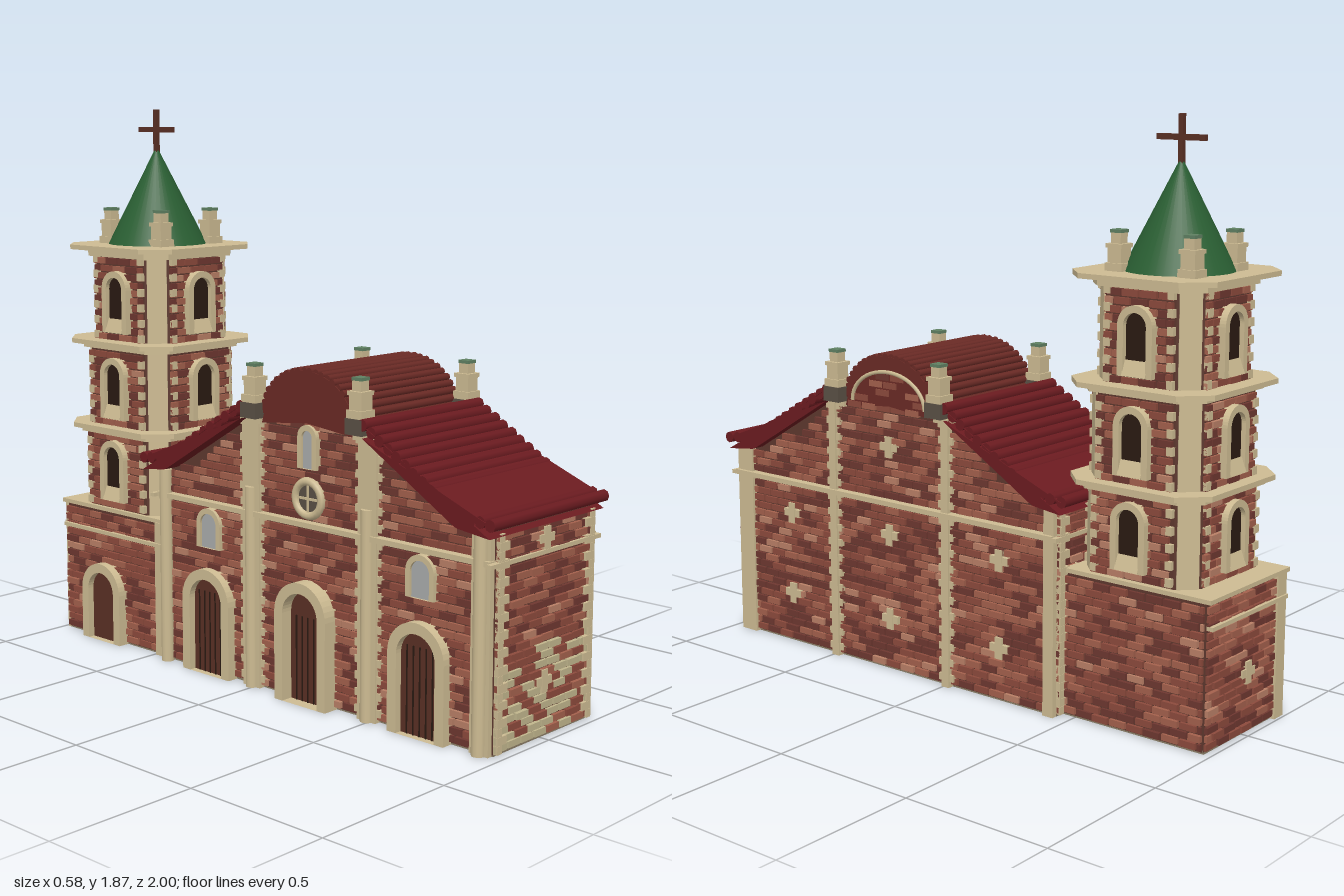
import * as THREE from 'three';
import { mergeGeometries } from 'three/addons/utils/BufferGeometryUtils.js';

const mat = (color, o = {}) => new THREE.MeshStandardMaterial({ color, ...o });
const TAN = mat(0xcdbb92), MORTAR = mat(0x5d382e), ROOF = mat(0x6b1b20), BARREL = mat(0x6a2a25);
const GREEN = mat(0x2a5f33), DARK = mat(0x2a1a12), WOOD = mat(0x5a3024), STONE = mat(0x5a5045);
const GLASS = mat(0xa9abab), FLOOR = mat(0x8a7d66), CAP = mat(0x5f8062);
const BRICKS = [mat(0x8c4a3c), mat(0xa3604c), mat(0x6e3730), mat(0xb97f66)];
const PALE = mat(0xc0b58c);

let seed = 7;
const rand = () => (seed = (seed * 16807) % 2147483647) / 2147483647;

function add(parent, name, geo, m, x = 0, y = 0, z = 0) {
  const mesh = new THREE.Mesh(geo, m);
  mesh.name = name;
  mesh.position.set(x, y, z);
  parent.add(mesh);
  return mesh;
}
// Box given by its lower and upper bounds
const block = (p, name, m, x0, x1, y0, y1, z0, z1) =>
  add(p, name, new THREE.BoxGeometry(x1 - x0, y1 - y0, z1 - z0), m, (x0 + x1) / 2, (y0 + y1) / 2, (z0 + z1) / 2);

// Group whose local +z points out of a wall
function face(parent, name, angle, x, y, z) {
  const g = new THREE.Group();
  g.name = name;
  g.rotation.y = angle;
  g.position.set(x, y, z);
  parent.add(g);
  return g;
}

// Running-bond bricks laid on a face
function brickwork(f, u0, u1, v0, v1, inside = () => true, paleBelow = -1) {
  const H = 0.0265, L = 0.064, sets = [[], [], [], [], []];
  for (let r = 0, v = v0; v + H <= v1 + 0.005; r++, v += H) {
    for (let u = u0 - (r % 2) * L / 2; u < u1; u += L) {
      const a = Math.max(u, u0), b = Math.min(u + L, u1) - 0.007;
      if (b - a < 0.01 || !inside(a, v + H) || !inside(b, v + H)) continue;
      const k = rand();
      const i = v < paleBelow && k > 0.5 ? 4 : k < 0.4 ? 0 : k < 0.65 ? 1 : k < 0.92 ? 2 : 3;
      const d = 0.008 + 0.006 * rand();
      sets[i].push(new THREE.BoxGeometry(b - a, H - 0.006, d).translate((a + b) / 2, v + H / 2, d / 2));
    }
  }
  sets.forEach((s, i) => s.length && add(f, 'bricks', mergeGeometries(s), i === 4 ? PALE : BRICKS[i]));
}

// Round-headed outline standing on y = 0
function arch(w, h, C = THREE.Shape) {
  const s = new C(), r = w / 2;
  s.moveTo(-r, 0);
  s.lineTo(r, 0);
  s.lineTo(r, h - r);
  s.absarc(0, h - r, r, 0, Math.PI, false);
  s.lineTo(-r, 0);
  return s;
}
const extrude = (s, depth) => new THREE.ExtrudeGeometry(s, { depth, bevelEnabled: false, curveSegments: 10 });

function archedOpening(f, name, u, v, w, h, t, depth, panel) {
  const g = new THREE.Group();
  g.name = name;
  g.position.set(u, v, 0);
  f.add(g);
  const s = arch(w, h);
  s.holes.push(arch(w - 2 * t, h - t, THREE.Path));
  add(g, 'archFrame', extrude(s, depth), TAN);
  add(g, 'archPanel', extrude(arch(w - 2 * t, h - t), 0.016), panel);
  return g;
}

function crossOrnament(f, u, v) {
  block(f, 'crossOrnament', TAN, u - 0.036, u + 0.036, v - 0.013, v + 0.013, 0, 0.016);
  block(f, 'crossOrnament', TAN, u - 0.014, u + 0.014, v - 0.036, v + 0.036, 0, 0.017);
}

function pinnacle(p, x, y, z) {
  const g = new THREE.Group();
  g.name = 'pinnacle';
  g.position.set(x, y, z);
  p.add(g);
  for (const [w, y0, y1] of [[0.062, 0, 0.03], [0.05, 0.03, 0.075], [0.058, 0.075, 0.088], [0.036, 0.088, 0.12]])
    block(g, 'pinnacleStone', TAN, -w / 2, w / 2, y0, y1, -w / 2, w / 2);
  block(g, 'pinnacleCap', CAP, -0.02, 0.02, 0.12, 0.13, -0.02, 0.02);
}

// Square with cut corners, extruded upward
function cutSquare(h, c, height) {
  const pts = [[h, c - h], [h, h - c], [h - c, h], [c - h, h], [-h, h - c], [-h, c - h], [c - h, -h], [h - c, -h]];
  return extrude(new THREE.Shape(pts.map(p => new THREE.Vector2(...p))), height).rotateX(-Math.PI / 2);
}

const MID = 0.24;
// Height of the roof line along the building
function roofY(z) {
  const d = Math.abs(z - MID);
  if (d < 0.195) return 0.91 + 0.16 * Math.sqrt(1 - (d / 0.195) ** 2);
  if (d < 0.26) return 0.92;
  if (d < 0.62) return 0.935 - (d - 0.26) * 0.6;
  return 0.719 - (d - 0.62) * 0.12;
}
// Profile in (z, y) extruded across the building
const across = (pts, x0, x1) =>
  extrude(new THREE.Shape(pts.map(p => new THREE.Vector2(...p))), x1 - x0).rotateY(-Math.PI / 2).translate(x1, 0, 0);

function roofStrip(p, name, m, z0, z1, x0, x1, step) {
  const top = [], low = [], tiles = [], n = Math.round((z1 - z0) / 0.013);
  for (let i = 0; i <= n; i++) {
    const z = z0 + (z1 - z0) * i / n;
    top.push([z, roofY(z)]);
    low.unshift([z, roofY(z) - 0.04]);
  }
  add(p, name, across([...low, ...top.reverse()], x0, x1), m);
  const curve = new THREE.CurvePath();
  for (let i = 1; i < top.length; i++)
    curve.add(new THREE.LineCurve(new THREE.Vector2(...top[i - 1]), new THREE.Vector2(...top[i])));
  const count = Math.round(curve.getLength() / step);
  for (let i = 0; i <= count; i++) {
    const q = curve.getPointAt(i / count), e = (i % 2) * 0.006;
    tiles.push(new THREE.CylinderGeometry(step * 0.48, step * 0.48, x1 - x0 - e, 8).rotateZ(Math.PI / 2)
      .translate((x0 + x1) / 2, q.y, q.x));
  }
  add(p, name + 'Tiles', mergeGeometries(tiles), m);
}

function nave(root) {
  const g = new THREE.Group();
  g.name = 'nave';
  root.add(g);
  const X0 = -0.23, X1 = 0.245, Z0 = -0.45, Z1 = 0.965;
  const prof = [[Z0, 0.005], [Z1, 0.005]];
  for (let i = 0; i <= 90; i++) {
    const z = Z1 + (Z0 - Z1) * i / 90;
    prof.push([z, roofY(z) - 0.03]);
  }
  add(g, 'naveWalls', across(prof, X0, X1), MORTAR);
  block(g, 'floor', FLOOR, X0, X1, 0, 0.012, Z0, Z1);
  roofStrip(g, 'frontRoof', ROOF, MID + 0.26, 0.985, -0.288, 0.282, 0.04);
  roofStrip(g, 'rearRoof', ROOF, -0.49, MID - 0.26, -0.288, 0.282, 0.04);
  roofStrip(g, 'barrelRoof', BARREL, MID - 0.194, MID + 0.194, -0.255, 0.255, 0.025);

  for (const s of [1, -1]) {
    const f = face(g, s > 0 ? 'plainSide' : 'doorSide', s * Math.PI / 2, s > 0 ? X1 : X0, 0, 0);
    const U = z => -s * z, a = Math.min(U(Z0), U(Z1)), b = Math.max(U(Z0), U(Z1));
    brickwork(f, a, b, 0.008, 1.04, (u, v) => v < roofY(U(u)) - 0.035);
    const strip = (name, z, w, y0, y1, d) => block(f, name, TAN, U(z) - w / 2, U(z) + w / 2, y0, y1, 0, d);
    block(f, 'cornice', TAN, a, b, 0.573, 0.59, 0, 0.03);
    const w = s > 0 ? 0.03 : 0.075;
    for (const z of [-0.01, 0.49]) {
      strip('pilaster', z, w, 0, 0.9, 0.022);
      for (let y = 0.02; y < 0.88; y += 0.053) strip('quoin', z, w + 0.03, y, y + 0.024, 0.017);
    }
    strip('cornerPilaster', 0.925, 0.07, 0, 0.68, 0.018);
    strip('cornerPilaster', -0.43, 0.04, 0, 0.68, 0.018);
    if (s < 0) for (const z of [-0.01, 0.49, 0.925, -0.42])
      add(f, 'halfColumn', new THREE.CylinderGeometry(0.022, 0.022, 0.67, 12), TAN, U(z), 0.335, 0.018);
    // Moulding below the barrel roof
    const arc = new THREE.EllipseCurve(U(MID), 0.91, 0.16, 0.11, 0, Math.PI).getPoints(16)
      .map(q => new THREE.Vector3(q.x, q.y, 0.012));
    add(f, 'gableMoulding', new THREE.TubeGeometry(new THREE.CatmullRomCurve3(arc), 24, 0.007, 6), TAN);
    if (s > 0) {
      for (const z of [0.7, MID, -0.23]) for (const y of [0.18, 0.47]) crossOrnament(f, U(z), y);
      crossOrnament(f, U(MID), 0.77);
    } else {
      for (const z of [0.7, MID, -0.21]) {
        const mid = z === MID;
        const d = archedOpening(f, 'doorway', z, 0, 0.22, mid ? 0.4 : 0.36, 0.035, mid ? 0.058 : 0.04, WOOD);
        for (const u of [-0.05, -0.025, 0, 0.025, 0.05])
          block(d, 'doorBoard', DARK, u - 0.002, u + 0.002, 0, 0.28, 0.01, 0.019);
        if (!mid) archedOpening(f, 'sideWindow', z, 0.43, 0.11, 0.135, 0.018, 0.024, GLASS);
      }
      archedOpening(f, 'gableNiche', MID, 0.76, 0.08, 0.14, 0.018, 0.024, GLASS);
      add(f, 'roundWindowRim', new THREE.TorusGeometry(0.055, 0.014, 8, 24), TAN, MID, 0.665, 0.014);
      add(f, 'roundWindowGlass', new THREE.CylinderGeometry(0.055, 0.055, 0.032, 24).rotateX(Math.PI / 2), STONE, MID, 0.665, 0);
      block(f, 'mullion', TAN, MID - 0.05, MID + 0.05, 0.661, 0.669, 0, 0.02);
      block(f, 'mullion', TAN, MID - 0.004, MID + 0.004, 0.615, 0.715, 0, 0.02);
    }
  }
  // End walls
  for (const s of [1, -1]) {
    const f = face(g, s > 0 ? 'frontWall' : 'rearWall', s > 0 ? 0 : Math.PI, 0, 0, s > 0 ? Z1 : Z0);
    const a = s > 0 ? X0 : -X1, b = s > 0 ? X1 : -X0;
    brickwork(f, a, b, 0.008, 0.68, undefined, s > 0 ? 0.28 : -1);
    block(f, 'cornice', TAN, -0.275, 0.275, 0.573, 0.586, 0, 0.018);
    for (let i = 0; i < 25; i++) {
      const w = i % 2 ? 0.045 : 0.022, y = 0.008 + i * 0.0265;
      block(f, 'quoin', TAN, a, a + w, y, y + 0.026, 0, 0.016);
      block(f, 'quoin', TAN, b - w, b, y, y + 0.026, 0, 0.016);
    }
    crossOrnament(f, 0, 0.18);
    crossOrnament(f, 0, 0.62);
  }
  // Parapet walls and their pinnacles
  for (const z of [0.015, 0.465]) {
    block(g, 'parapet', TAN, -0.26, 0.26, 0.88, 0.925, z - 0.027, z + 0.027);
    for (const x of [-0.255, 0.26]) {
      block(g, 'pinnacleBase', STONE, x - 0.034, x + 0.034, 0.9, 0.95, z - 0.034, z + 0.034);
      pinnacle(g, x, 0.945, z);
    }
  }
}

function tower(root) {
  const g = new THREE.Group();
  g.name = 'bellTower';
  g.position.set(-0.01, 0, -0.7);
  root.add(g);
  // Base
  block(g, 'baseWalls', MORTAR, -0.21, 0.22, 0.005, 0.47, -0.275, 0.255);
  block(g, 'floor', FLOOR, -0.21, 0.22, 0, 0.012, -0.275, 0.255);
  block(g, 'baseTop', TAN, -0.222, 0.23, 0.468, 0.482, -0.295, 0.255);
  const sides = [[Math.PI / 2, 0.22, 0, -0.255, 0.275], [-Math.PI / 2, -0.21, 0, -0.275, 0.255], [Math.PI, 0, -0.275, -0.22, 0.21]];
  sides.forEach(([angle, x, z, a, b], i) => {
    const f = face(g, 'baseSide', angle, x, 0, z);
    brickwork(f, a, b, 0.008, 0.47);
    if (i > 0) {
      block(f, 'baseCornice', TAN, a, b, 0.385, 0.398, 0, 0.022);
      block(f, 'basePilaster', TAN, b - 0.05, b, 0, 0.47, 0, 0.016);
    }
    if (i === 1) archedOpening(f, 'towerDoorway', -0.06, 0, 0.2, 0.28, 0.033, 0.04, WOOD);
    if (i === 2) crossOrnament(f, 0, 0.2);
  });
  // Belfry storeys
  [[0.48, 0.29, 0.208], [0.77, 0.3, 0.2], [1.07, 0.32, 0.185]].forEach(([y, H, h], k) => {
    const c = 0.06;
    add(g, 'storeyWalls', cutSquare(h, c, H), MORTAR, 0, y, 0);
    add(g, 'storeyCornice', cutSquare(0.258, 0.08, 0.016), TAN, 0, y + H - (k < 2 ? 0.008 : 0), 0);
    add(g, 'corniceMoulding', cutSquare(h + 0.02, c, 0.02), TAN, 0, y + H - 0.024, 0);
    for (let i = 0; i < 4; i++) {
      const f = face(g, 'storeySide', i * Math.PI / 2, 0, y, 0);
      const wall = face(f, 'wallFace', 0, 0, 0, h);
      brickwork(wall, c - h, h - c, 0.004, H - 0.02);
      const o = archedOpening(wall, 'belfryWindow', 0, 0.035, 0.125, 0.215, 0.022, 0.032, DARK);
      // Sloping sill
      const sill = add(o, 'sill', new THREE.BoxGeometry(0.085, 0.05, 0.012), TAN, 0, 0.024, 0.023);
      sill.rotation.x = -0.35;
      // Corner strip with alternating quoins
      const corner = face(f, 'cornerStrip', Math.PI / 4, h - c / 2, 0, h - c / 2);
      block(corner, 'cornerPanel', TAN, -0.034, 0.034, 0, H - 0.01, -0.02, 0.006);
      for (let j = 0; j * 0.053 < H - 0.05; j++) {
        block(wall, 'quoin', TAN, h - c - 0.022, h - c, 0.01 + j * 0.053, 0.036 + j * 0.053, 0, 0.015);
        block(wall, 'quoin', TAN, c - h, c - h + 0.022, 0.01 + j * 0.053, 0.036 + j * 0.053, 0, 0.015);
      }
    }
  });
  // Spire, cross and corner pinnacles
  add(g, 'spire', new THREE.ConeGeometry(0.178, 0.35, 40), GREEN, 0, 1.57, -0.01);
  block(g, 'crossPost', WOOD, -0.008, 0.008, 1.72, 1.87, -0.018, -0.002);
  block(g, 'crossBar', WOOD, -0.008, 0.008, 1.792, 1.81, -0.095, 0.075);
  for (const x of [-0.1, 0.13]) for (const z of [-0.14, 0.12]) pinnacle(g, x, 1.4, z);
}

export function createModel() {
  const root = new THREE.Group();
  root.name = 'church';
  nave(root);
  tower(root);
  return root;
}
